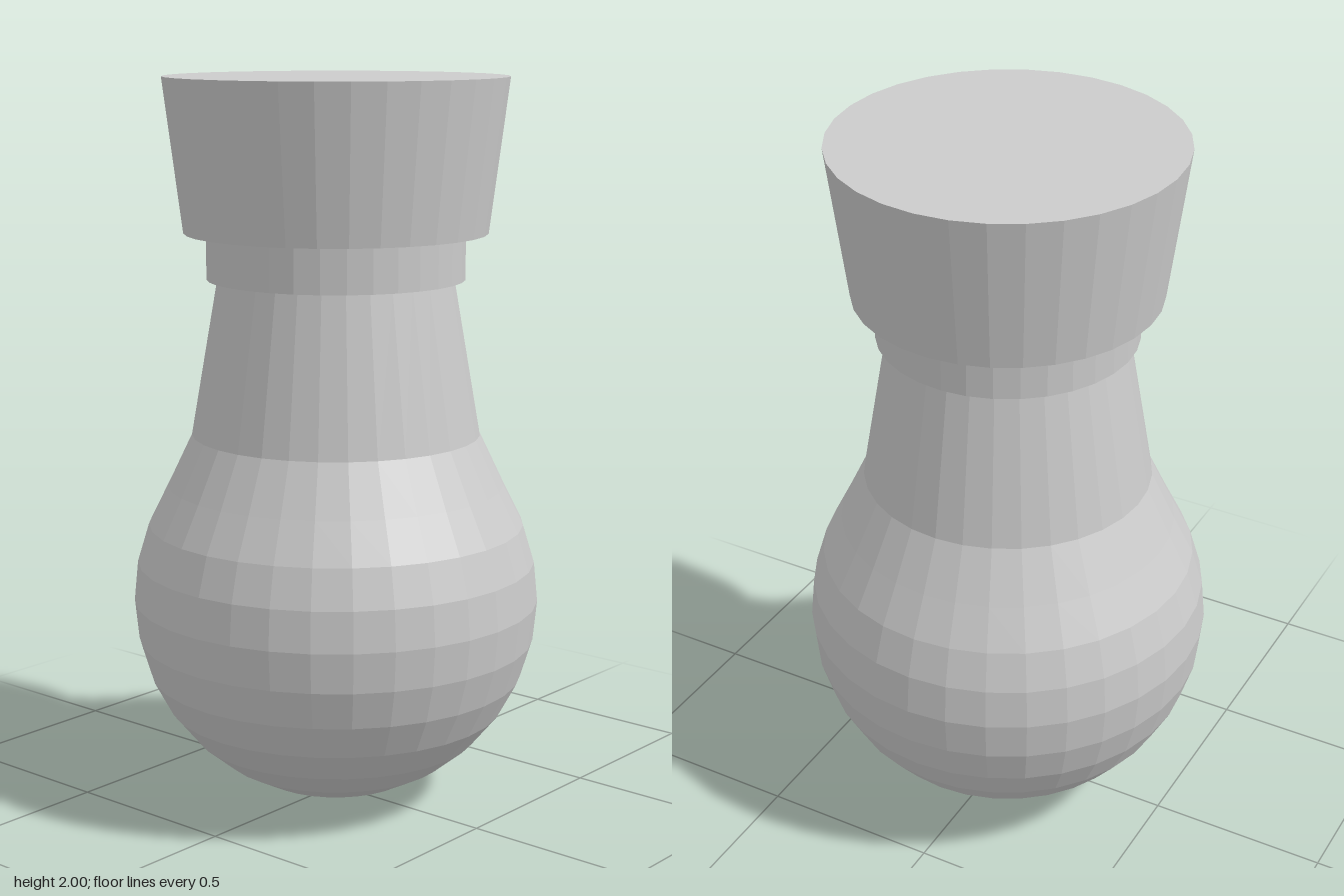
import * as THREE from 'three';

const SIDES = 32;
const material = new THREE.MeshStandardMaterial({ color: 0xcccccc, flatShading: true });

function part(name, geometry, y = 0) {
  const mesh = new THREE.Mesh(geometry, material);
  mesh.name = name;
  mesh.position.y = y;
  return mesh;
}

// Solid tapered ring between two heights
function drum(name, rBottom, rTop, y0, y1) {
  return part(name, new THREE.CylinderGeometry(rTop, rBottom, y1 - y0, SIDES), (y0 + y1) / 2);
}

export function createModel() {
  const group = new THREE.Group();
  group.name = 'knob';

  // Round bulb: sphere rings up past the widest point, then a shoulder into the neck
  const radius = 0.562;
  const centre = 0.565;
  const profile = [new THREE.Vector2(0, 0)];
  for (let i = 1; i <= 10; i++) {
    const a = (i * Math.PI) / 16;
    profile.push(new THREE.Vector2(radius * Math.sin(a), centre - radius * Math.cos(a)));
  }
  profile.push(new THREE.Vector2(0.464, 0.89), new THREE.Vector2(0.397, 1.03));
  group.add(part('bulb', new THREE.LatheGeometry(profile, SIDES)));

  // Tapered neck, collar and flared cap
  group.add(drum('neck', 0.397, 0.323, 1.03, 1.457));
  group.add(drum('collar', 0.352, 0.352, 1.457, 1.583));
  group.add(drum('cap', 0.413, 0.466, 1.583, 2));

  return group;
}
